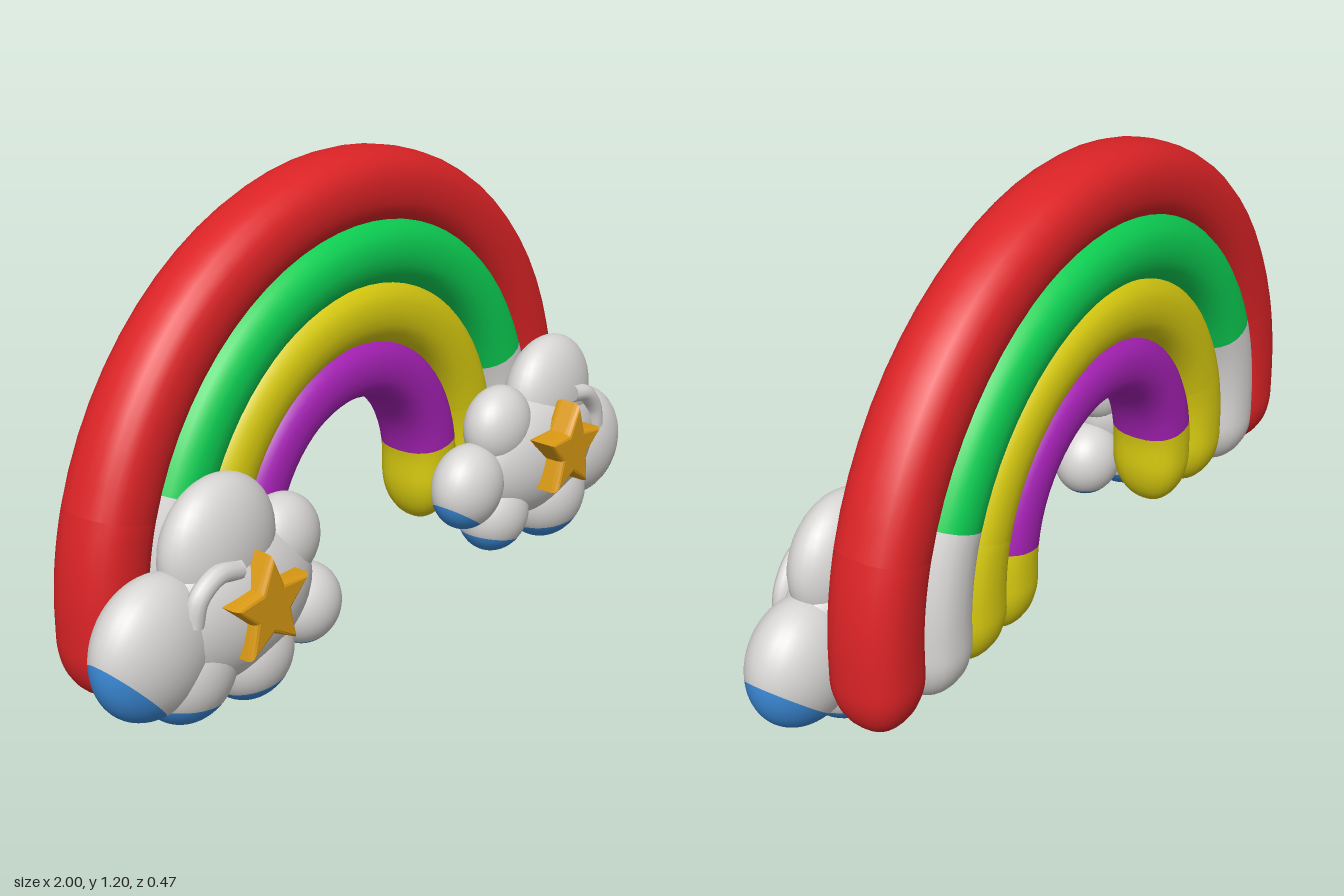
import * as THREE from 'three';

const mat = (name, color, side = THREE.FrontSide) => {
  const m = new THREE.MeshStandardMaterial({ color, side });
  m.name = name;
  return m;
};
const red = mat('red', 0xdc2326), green = mat('green', 0x0ccf53), yellow = mat('yellow', 0xd8cb10);
const purple = mat('purple', 0xa521b4), white = mat('cloudWhite', 0xd8d6d4);
const blue = mat('cloudBlue', 0x3b8ad8), gold = mat('starGold', 0xdb9a14);

const CY = 0.3, BAND_Z = -0.112;   // centre of the arcs

function add(parent, name, geo, material) {
  const mesh = new THREE.Mesh(geo, material);
  mesh.name = name;
  parent.add(mesh);
  return mesh;
}

// Rounded tube over an arch with straight feet, between path lengths s0 and s1
function bandPiece(R, rx, rz, leg, s0, s1, ease) {
  const arc = Math.PI * R, total = arc + 2 * leg, cap = 0.14;
  const rows = 28, cols = 24, pos = [], index = [];
  const soft = v => Math.sign(v) * Math.abs(v) ** 0.85;
  for (let i = 0; i <= rows; i++) {
    const s = s0 + (s1 - s0) * ease(i / rows);
    const th = THREE.MathUtils.clamp((s - leg) / R, 0, Math.PI);
    const drop = s < leg ? leg - s : Math.max(0, s - leg - arc);
    const e = Math.min(1, Math.min(s, total - s) / cap);
    const k = Math.sqrt(Math.max(0, 1 - (1 - e) ** 2));
    for (let j = 0; j < cols; j++) {
      const a = j / cols * Math.PI * 2;
      const r = R + rx * k * soft(Math.cos(a));
      pos.push(r * Math.cos(th), CY - drop + r * Math.sin(th), BAND_Z + rz * k * soft(Math.sin(a)));
      if (i < rows) {
        const p = i * cols + j, q = i * cols + (j + 1) % cols;
        index.push(p, p + cols, q, q, p + cols, q + cols);
      }
    }
  }
  const g = new THREE.BufferGeometry();
  g.setAttribute('position', new THREE.Float32BufferAttribute(pos, 3));
  g.setIndex(index);
  g.computeVertexNormals();
  return g;
}

// A band has an arch and two feet; split is the angle where the feet start
function band(parent, name, R, rx, rz, leg, split, archMat, footMat) {
  const g = new THREE.Group();
  g.name = name;
  const total = Math.PI * R + 2 * leg, cut = leg + R * split;
  add(g, name + 'Arch', bandPiece(R, rx, rz, leg, cut, total - cut, u => u), archMat);
  add(g, name + 'LeftFoot', bandPiece(R, rx, rz, leg, 0, cut, u => u * u), footMat);
  add(g, name + 'RightFoot', bandPiece(R, rx, rz, leg, total - cut, total, u => 1 - (1 - u) ** 2), footMat);
  parent.add(g);
}

// Flattened ball; an optional blue cap faces the direction `deg` in the xy plane
function lobe(parent, [x, y, r, rz, deg, half]) {
  const g = new THREE.Group();
  g.name = 'cloudLobe';
  const t = half ? THREE.MathUtils.degToRad(half) : 0;
  add(g, 'puff', new THREE.SphereGeometry(r, 32, 20, 0, Math.PI * 2, t, Math.PI - t), white);
  if (half) add(g, 'blueRim', new THREE.SphereGeometry(r, 32, 12, 0, Math.PI * 2, 0, t), blue);
  g.position.set(x, y, 0.07);
  g.rotation.z = THREE.MathUtils.degToRad((deg ?? 90) - 90);
  g.scale.z = rz / r;
  parent.add(g);
}

function cloud(parent, name, x, y, lobes, curl) {
  const g = new THREE.Group();
  g.name = name;
  lobes.forEach(l => lobe(g, l));
  const core = add(g, 'cloudCore', new THREE.SphereGeometry(1, 40, 24), white);
  core.position.set(x, y, 0.07);
  core.scale.set(0.27, 0.18, 0.118);
  // raised curl beside the star
  const pts = curl.map(p => new THREE.Vector3(...p));
  add(g, 'cloudCurl', new THREE.TubeGeometry(new THREE.CatmullRomCurve3(pts), 20, 0.024, 10), white);
  parent.add(g);
}

function star(parent, name, x, y, z, turn) {
  const s = new THREE.Shape();
  for (let i = 0; i < 10; i++) {
    const a = Math.PI / 2 + i * Math.PI / 5, r = i % 2 ? 0.05 : 0.113;
    s[i ? 'lineTo' : 'moveTo'](r * Math.cos(a), r * Math.sin(a));
  }
  s.closePath();
  const geo = new THREE.ExtrudeGeometry(s, {
    depth: 0.04, bevelEnabled: true, bevelThickness: 0.018, bevelSize: 0.012, bevelSegments: 3
  });
  const m = add(parent, name, geo, gold);
  m.position.set(x, y, z);
  m.rotation.z = turn;
}

export function createModel() {
  const model = new THREE.Group();
  model.name = 'rainbowWithClouds';

  // Rainbow bands, outside to inside
  band(model, 'redBand', 0.807, 0.098, 0.102, 0.193, 0.3, red, red);
  band(model, 'greenBand', 0.655, 0.094, 0.124, 0.185, 0.38, green, white);
  band(model, 'yellowBand', 0.502, 0.092, 0.11, 0.18, 0.3, yellow, yellow);
  band(model, 'purpleBand', 0.356, 0.084, 0.1, 0.175, 0.16, purple, yellow);

  // Clouds: lobes are x, y, radius, depth radius, rim direction, rim half angle
  cloud(model, 'rightCloud', -0.6, 0.31, [
    [-0.62, 0.46, 0.17, 0.088],
    [-0.83, 0.295, 0.17, 0.1, 222, 50],
    [-0.41, 0.4, 0.11, 0.08],
    [-0.33, 0.2, 0.1, 0.085, 275, 42],
    [-0.53, 0.16, 0.12, 0.1, 275, 58],
    [-0.73, 0.2, 0.13, 0.1, 258, 56],
  ], [[-0.78, 0.35, 0.145], [-0.765, 0.41, 0.15], [-0.71, 0.445, 0.152], [-0.64, 0.435, 0.152]]);

  cloud(model, 'leftCloud', 0.62, 0.29, [
    [0.69, 0.425, 0.163, 0.088],
    [0.46, 0.4, 0.11, 0.08],
    [0.33, 0.27, 0.115, 0.085, 235, 45],
    [0.45, 0.155, 0.108, 0.09, 255, 56],
    [0.69, 0.135, 0.132, 0.11, 272, 58],
    [0.842, 0.235, 0.158, 0.108, 312, 54],
  ], [[0.69, 0.44, 0.15], [0.75, 0.425, 0.155], [0.8, 0.37, 0.152], [0.815, 0.31, 0.15]]);

  // Stars
  star(model, 'rightStar', -0.59, 0.335, 0.155, 0);
  star(model, 'leftStar', 0.595, 0.325, 0.175, -0.1);
  return model;
}
